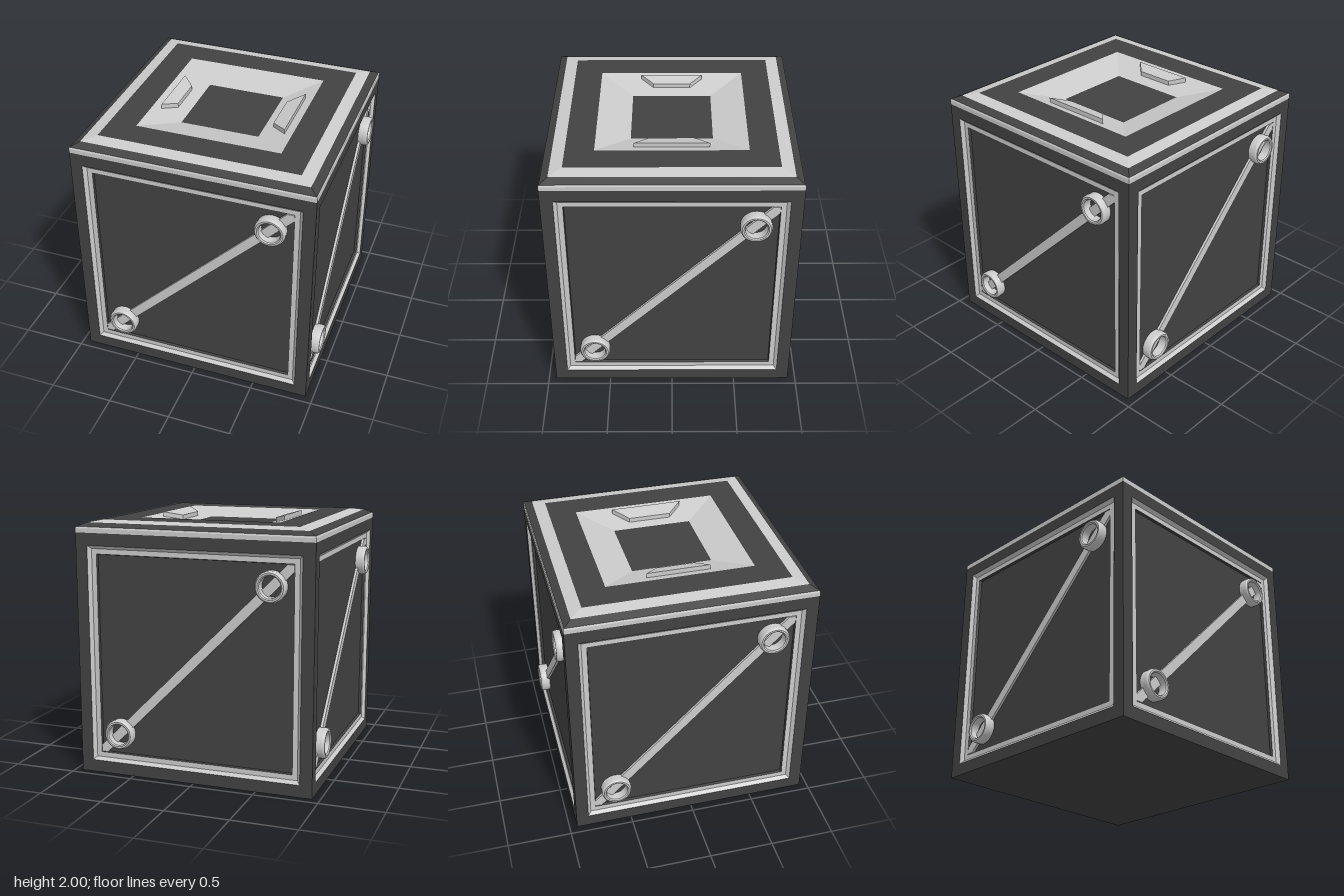
import * as THREE from 'three';
import { toCreasedNormals } from 'three/addons/utils/BufferGeometryUtils.js';

const grey = new THREE.MeshStandardMaterial({ color: 0xcccccc });
const dark = new THREE.MeshStandardMaterial({ color: 0x424242 });

function mesh(name, geometry, material, parent) {
  const m = new THREE.Mesh(geometry, material);
  m.name = name;
  parent.add(m);
  return m;
}

// Square stepped surface around the y axis: profile of [half width, height]
function squareLoft(profile) {
  const points = profile.map(([w, h]) => new THREE.Vector2(w * Math.SQRT2, h));
  const g = new THREE.LatheGeometry(points, 4).rotateY(Math.PI / 4).toNonIndexed();
  g.computeVertexNormals();
  return g;
}

// The same surface turned to face +z, stretched to the height of the wall
function wallLoft(profile) {
  return squareLoft(profile).rotateX(Math.PI / 2).scale(1, 0.945 / 0.94, 1);
}

function createWall() {
  const wall = new THREE.Group();
  wall.name = 'wall';
  mesh('wallFrame', wallLoft([[0.94, 0.94], [0.845, 0.94]]), dark, wall);
  mesh('wallTrim', wallLoft([[0.845, 0.94], [0.82, 0.915], [0.78, 0.915]]), grey, wall);
  mesh('wallPanel', wallLoft([[0.78, 0.915], [0.775, 0.895], [0, 0.895]]), dark, wall);

  // Diagonal brace, cut to fit the corners of the panel
  const c = 0.778, k = 0.052;
  const outline = [[-c, -c], [k - c, -c], [c, c - k], [c, c], [c - k, c], [-c, k - c]];
  const shape = new THREE.Shape(outline.map(([x, y]) => new THREE.Vector2(x, y)));
  const brace = new THREE.ExtrudeGeometry(shape, { depth: 0.025, bevelEnabled: false });
  mesh('diagonalBrace', brace.translate(0, 0, 0.89), grey, wall);

  // Raised ring at each end of the brace
  const section = [
    [0.115, 0.89], [0.118, 0.945], [0.115, 0.96], [0.105, 0.97],
    [0.092, 0.97], [0.083, 0.962], [0.08, 0.945], [0.08, 0.89],
  ].map(([r, h]) => new THREE.Vector2(r, h));
  for (const s of [-1, 1]) {
    const ring = toCreasedNormals(new THREE.LatheGeometry(section, 32), 0.6);
    mesh('braceRing', ring.rotateX(Math.PI / 2).translate(s * 0.61, s * 0.615, 0), grey, wall);
  }
  return wall;
}

// Trapezoid grip lying on the slope of the lid recess, on the +x side
function gripGeometry(xIn, xOut, zIn, zOut) {
  const shape = new THREE.Shape([
    new THREE.Vector2(xIn, -zIn), new THREE.Vector2(xOut, -zOut),
    new THREE.Vector2(xOut, zOut), new THREE.Vector2(xIn, zIn),
  ]);
  const g = new THREE.ExtrudeGeometry(shape, { depth: 0.06, bevelEnabled: false });
  g.rotateX(-Math.PI / 2);
  const p = g.attributes.position;
  // Shear so the top follows the slope
  for (let i = 0; i < p.count; i++) {
    p.setY(i, p.getY(i) + 1.94 - 0.27 * (xOut - p.getX(i)));
  }
  g.computeVertexNormals();
  return g;
}

export function createModel() {
  const crate = new THREE.Group();
  crate.name = 'crate';

  // Four identical walls
  for (let i = 0; i < 4; i++) {
    const wall = createWall();
    wall.position.y = 0.945;
    wall.rotation.y = i * Math.PI / 2;
    crate.add(wall);
  }
  mesh('base', squareLoft([[0, 0], [0.94, 0]]), dark, crate);

  // Lid in bands from the rim to the sunken middle
  const lid = new THREE.Group();
  lid.name = 'lid';
  crate.add(lid);
  const bands = [
    ['lidRim', grey, [[0.94, 1.89], [0.94, 1.922], [0.934, 1.935]]],
    ['lidOuterSlope', dark, [[0.934, 1.935], [0.875, 1.963]]],
    ['lidTrim', grey, [[0.875, 1.963], [0.78, 1.98]]],
    ['lidTop', dark, [[0.78, 1.98], [0.565, 1.98]]],
    ['lidRecess', grey, [[0.565, 1.98], [0.308, 1.915]]],
    ['lidFloor', dark, [[0.308, 1.915], [0, 1.915]]],
  ];
  for (const [name, material, profile] of bands) mesh(name, squareLoft(profile), material, lid);

  // Two grips facing each other
  mesh('leftGrip', gripGeometry(0.38, 0.5, 0.165, 0.28), grey, lid);
  mesh('rightGrip', gripGeometry(0.4, 0.497, 0.145, 0.243).rotateY(Math.PI), grey, lid);
  return crate;
}
